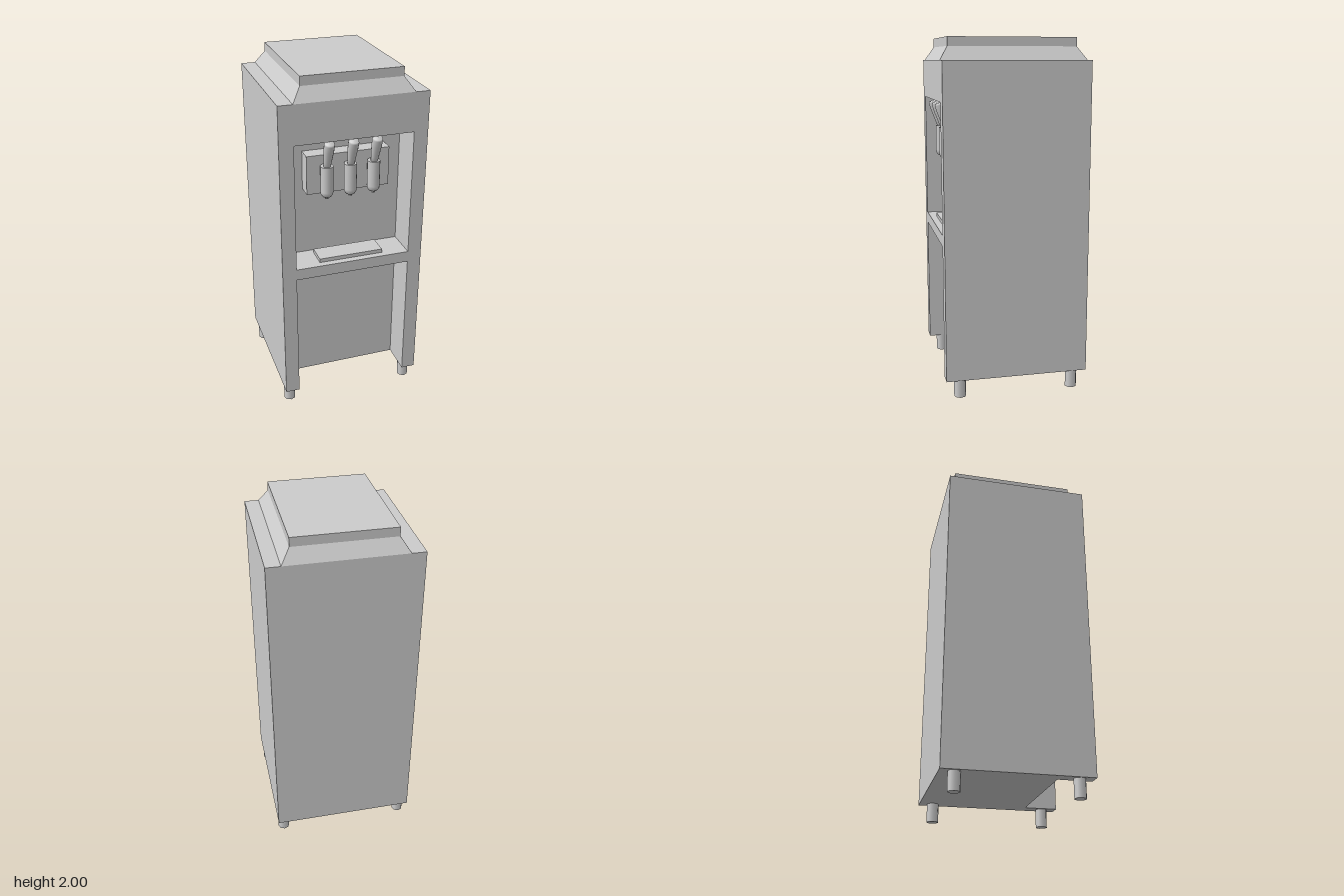
import * as THREE from 'three';

const material = new THREE.MeshStandardMaterial({ color: 0xcccccc });

function addMesh(parent, name, geometry) {
  const mesh = new THREE.Mesh(geometry, material);
  mesh.name = name;
  parent.add(mesh);
  return mesh;
}

// Box given by its extents on each axis
function block(x0, x1, y0, y1, z0, z1) {
  return new THREE.BoxGeometry(x1 - x0, y1 - y0, z1 - z0)
    .translate((x0 + x1) / 2, (y0 + y1) / 2, (z0 + z1) / 2);
}

function lathe(points, segments) {
  return new THREE.LatheGeometry(points.map(([r, y]) => new THREE.Vector2(r, y)), segments);
}

const HALF = 0.41, BACK = -0.412, FRONT = 0.405, RECESS = 0.215;
const BOTTOM = 0.105, TOP = 1.875, INNER = 0.33;

export function createModel() {
  const model = new THREE.Group();
  model.name = 'softServeMachine';

  // Cabinet: solid rear and a front frame with a serving recess and an open leg bay
  const cabinet = new THREE.Group();
  cabinet.name = 'cabinet';
  model.add(cabinet);
  addMesh(cabinet, 'cabinetRear', block(-HALF, HALF, BOTTOM, TOP, BACK, RECESS));
  const frame = new THREE.Shape([
    [-HALF, BOTTOM], [-INNER, BOTTOM], [-INNER, 0.867], [INNER, 0.867],
    [INNER, BOTTOM], [HALF, BOTTOM], [HALF, TOP], [-HALF, TOP],
  ].map(([x, y]) => new THREE.Vector2(x, y)));
  frame.holes.push(new THREE.Path([
    [-INNER, 0.932], [-INNER, 1.656], [INNER, 1.656], [INNER, 0.932],
  ].map(([x, y]) => new THREE.Vector2(x, y))));
  addMesh(cabinet, 'frontFrame', new THREE.ExtrudeGeometry(frame, { depth: FRONT - RECESS, bevelEnabled: false })
    .translate(0, 0, RECESS));

  // Sloped hopper base, narrowed towards the lid
  const slope = block(-INNER, INNER, TOP, 1.95, BACK, FRONT);
  const pos = slope.attributes.position;
  for (let i = 0; i < pos.count; i++) {
    if (pos.getY(i) > 1.9) {
      pos.setX(i, Math.sign(pos.getX(i)) * 0.28);
      pos.setZ(i, pos.getZ(i) > 0 ? 0.357 : -0.363);
    }
  }
  const flatSlope = slope.toNonIndexed();
  flatSlope.computeVertexNormals();
  addMesh(model, 'hopperBase', flatSlope);
  addMesh(model, 'hopperLid', block(-0.28, 0.28, 1.95, 2, -0.363, 0.357));

  // Dispensing panel and drip tray
  addMesh(model, 'dispensingPanel', block(-0.235, 0.235, 1.325, 1.546, RECESS, 0.3));
  addMesh(model, 'dripTray', block(-0.185, 0.185, 0.932, 0.954, 0.245, 0.367));

  // Three taps, each with a valve body, nozzle and forward-leaning handle
  for (const x of [-0.133, 0, 0.133]) {
    const tap = new THREE.Group();
    tap.name = 'tap';
    tap.position.set(x, 0, 0.335);
    model.add(tap);
    addMesh(tap, 'valveBody', lathe(
      [[0, 1.318], [0.024, 1.32], [0.034, 1.335], [0.035, 1.35], [0.035, 1.495], [0.035, 1.495], [0, 1.495]], 16));
    addMesh(tap, 'nozzle', new THREE.CylinderGeometry(0.01, 0.01, 0.03, 10).translate(0, 1.32, 0));
    const handle = addMesh(tap, 'handle', lathe(
      [[0, 0], [0.018, 0], [0.022, 0.05], [0.028, 0.12], [0.029, 0.16], [0.026, 0.17], [0, 0.174]], 16));
    handle.position.y = 1.478;
    handle.rotation.x = 0.29;
  }

  // Four feet
  for (const x of [-0.37, 0.37]) {
    for (const z of [-0.333, 0.323]) {
      addMesh(model, 'foot', new THREE.CylinderGeometry(0.034, 0.034, BOTTOM, 8))
        .position.set(x, BOTTOM / 2, z);
    }
  }
  return model;
}
